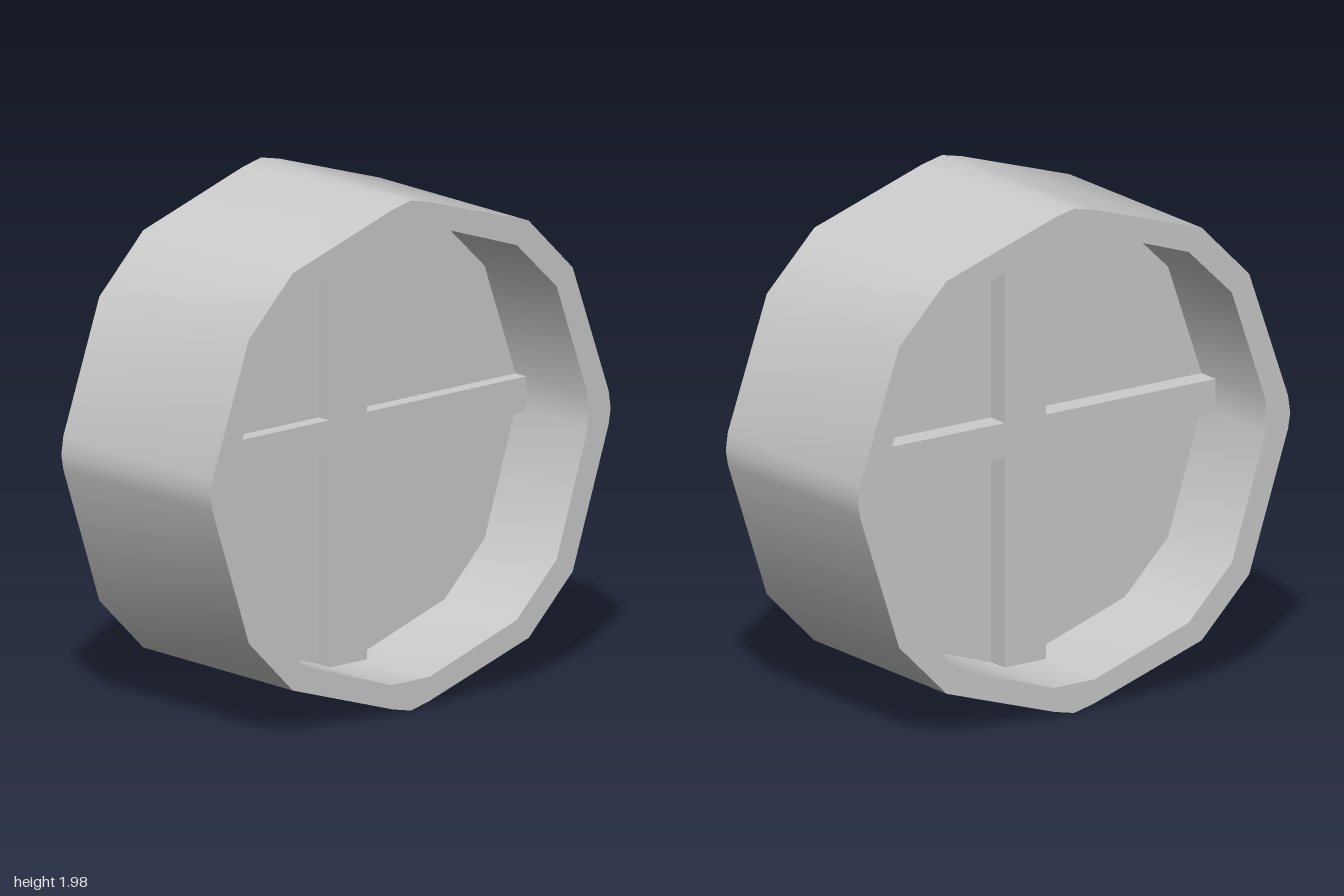
import * as THREE from 'three';
import { toCreasedNormals } from 'three/addons/utils/BufferGeometryUtils.js';

// Right halves of the faceted outlines, top to bottom, as [x, y]
const outerHalf = [[0, 1.98], [0.09, 1.96], [0.59, 1.8], [0.81, 1.58], [0.99, 1.07], [1, 1],
  [0.99, 0.94], [0.81, 0.4], [0.59, 0.18], [0.09, 0.02], [0, 0]];
const innerHalf = [[0.095, 1.865], [0.53, 1.715], [0.73, 1.52], [0.885, 1.075],
  [0.885, 0.94], [0.73, 0.46], [0.53, 0.26], [0.095, 0.115]];

// Flat cross of four spokes
const crossOutline = [[-0.1, 0.115], [0.09, 0.115], [0.09, 0.94], [0.885, 0.94],
  [0.885, 1.075], [0.09, 1.075], [0.09, 1.865], [-0.1, 1.865],
  [-0.1, 1.075], [-0.885, 1.075], [-0.885, 0.94], [-0.1, 0.94]];

const toPoints = (pairs) => pairs.map(([x, y]) => new THREE.Vector2(x, y));

// Mirrors a half outline across x = 0 into a closed clockwise loop
function mirrored(half) {
  const left = half.filter(([x]) => x > 0).reverse().map(([x, y]) => [-x, y]);
  return toPoints([...half, ...left]);
}

export function createModel() {
  const model = new THREE.Group();
  const material = new THREE.MeshStandardMaterial({ color: 0xcccccc });

  // Extrudes a shape between two depths, smoothing only the shallow facet angles
  function addSlab(name, shape, back, front) {
    const geometry = new THREE.ExtrudeGeometry(shape, { depth: front - back, bevelEnabled: false });
    geometry.translate(0, 0, back);
    const mesh = new THREE.Mesh(toCreasedNormals(geometry, 0.7), material);
    mesh.name = name;
    model.add(mesh);
  }

  // Wide faceted rim; the hole runs opposite to the outline so its wall faces inward
  const rim = new THREE.Shape(mirrored(outerHalf));
  rim.holes.push(new THREE.Path(mirrored(innerHalf).reverse()));
  addSlab('rim', rim, -0.425, 0.425);

  // Thin web closing the middle of the rim
  addSlab('disc', new THREE.Shape(mirrored(innerHalf)), -0.015, 0.015);

  // Spokes standing out on both sides of the disc
  addSlab('spokes', new THREE.Shape(toPoints(crossOutline)), -0.105, 0.075);

  return model;
}
